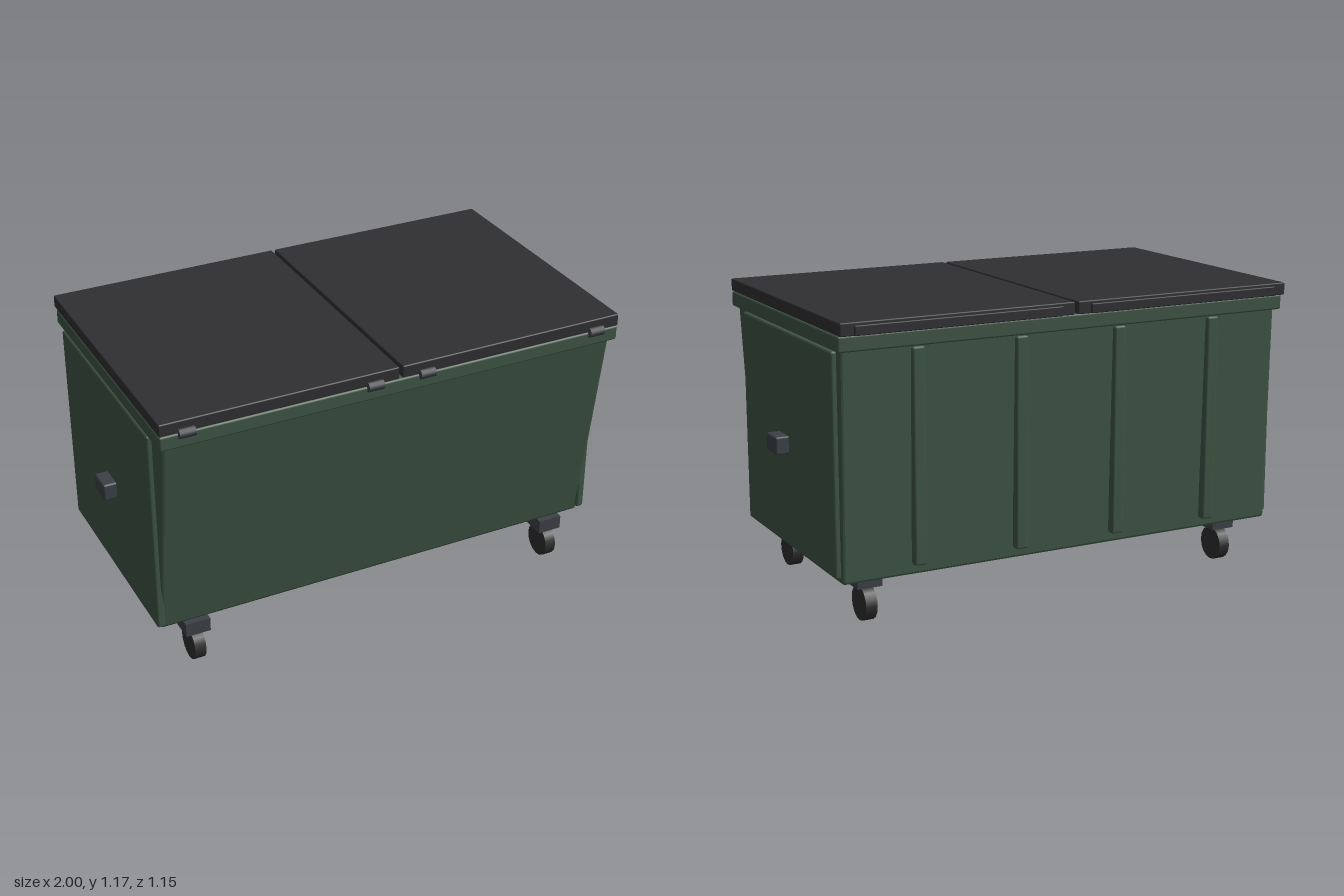
import * as THREE from 'three';
import { RoundedBoxGeometry } from 'three/addons/geometries/RoundedBoxGeometry.js';

const paint = (color) => new THREE.MeshStandardMaterial({ color });

export function createModel() {
  const root = new THREE.Group();
  const green = paint(0x3f5545);
  const lidGrey = paint(0x303033);
  const steel = paint(0x3d4146);
  const rubber = paint(0x2e2e2e);

  const add = (name, geometry, material, parent = root) => {
    const mesh = new THREE.Mesh(geometry, material);
    mesh.name = name;
    parent.add(mesh);
    return mesh;
  };

  // Box given by its extents on each axis, with softened edges when bevel > 0
  const block = (name, [x0, x1], [y0, y1], [z0, z1], bevel, material, parent) => {
    const size = [x1 - x0, y1 - y0, z1 - z0];
    const geometry = bevel
      ? new RoundedBoxGeometry(...size, 1, bevel)
      : new THREE.BoxGeometry(...size);
    geometry.translate((x0 + x1) / 2, (y0 + y1) / 2, (z0 + z1) / 2);
    return add(name, geometry, material, parent);
  };

  // Container: a box whose front leans out and back leans slightly toward the top
  const bottom = 0.193, top = 1.08;
  const body = block('container', [-0.927, 0.927], [bottom, top], [-0.5, 0.405], 0.01, green);
  const pos = body.geometry.attributes.position;
  for (let i = 0; i < pos.count; i++) {
    const t = (pos.getY(i) - bottom) / (top - bottom);
    const f = (pos.getZ(i) + 0.5) / 0.905; // 0 at the back, 1 at the front
    pos.setZ(i, pos.getZ(i) + t * THREE.MathUtils.lerp(-0.018, 0.125, f));
  }
  body.geometry.computeVertexNormals();

  // Rim around the top
  block('rim', [-0.945, 0.945], [1.057, 1.116], [-0.542, 0.552], 0.008, green);

  // Vertical ribs on the back
  for (const x of [-0.63, -0.21, 0.21, 0.63]) {
    block('backRib', [x - 0.025, x + 0.025], [0.235, 1.052], [-0.535, -0.495], 0.008, green);
  }

  for (const side of [-1, 1]) {
    const span = (a, b) => (side > 0 ? [a, b] : [-b, -a]);

    // Side panel and lifting lug
    block('sidePanel', span(0.915, 0.948), [0.213, 1.053], [-0.48, 0.425], 0.009, green);
    block('liftLug', span(0.94, 1), [0.582, 0.652], [-0.045, 0.056], 0.008, steel);

    // Lid with its hinge strip along the back edge
    const lid = new THREE.Group();
    lid.name = side > 0 ? 'leftLid' : 'rightLid';
    root.add(lid);
    block('lidPanel', span(0.007, 0.945), [1.118, 1.167], [-0.563, 0.553], 0.005, lidGrey, lid);
    block('hingeStrip', span(0.06, 0.892), [1.119, 1.156], [-0.573, -0.545], 0.004, lidGrey, lid);

    // Rounded grips on the lid's front edge
    for (const x of [0.107, 0.843]) {
      const grip = add('lidGrip', new THREE.CylinderGeometry(0.019, 0.019, 0.062, 12), steel, lid);
      grip.rotation.z = Math.PI / 2;
      grip.position.set(side * x, 1.117, 0.554);
    }

    // Casters: mounting block and wheel
    for (const z of [-0.364, 0.376]) {
      const caster = new THREE.Group();
      caster.name = 'caster';
      caster.position.set(side * 0.787, 0, z);
      root.add(caster);
      block('casterMount', [-0.05, 0.05], [0.138, 0.195], [-0.052, 0.052], 0, steel, caster);
      const wheel = add('wheel', new THREE.CylinderGeometry(0.068, 0.068, 0.046, 16), rubber, caster);
      wheel.rotation.z = Math.PI / 2;
      wheel.position.y = 0.068;
    }
  }

  return root;
}
